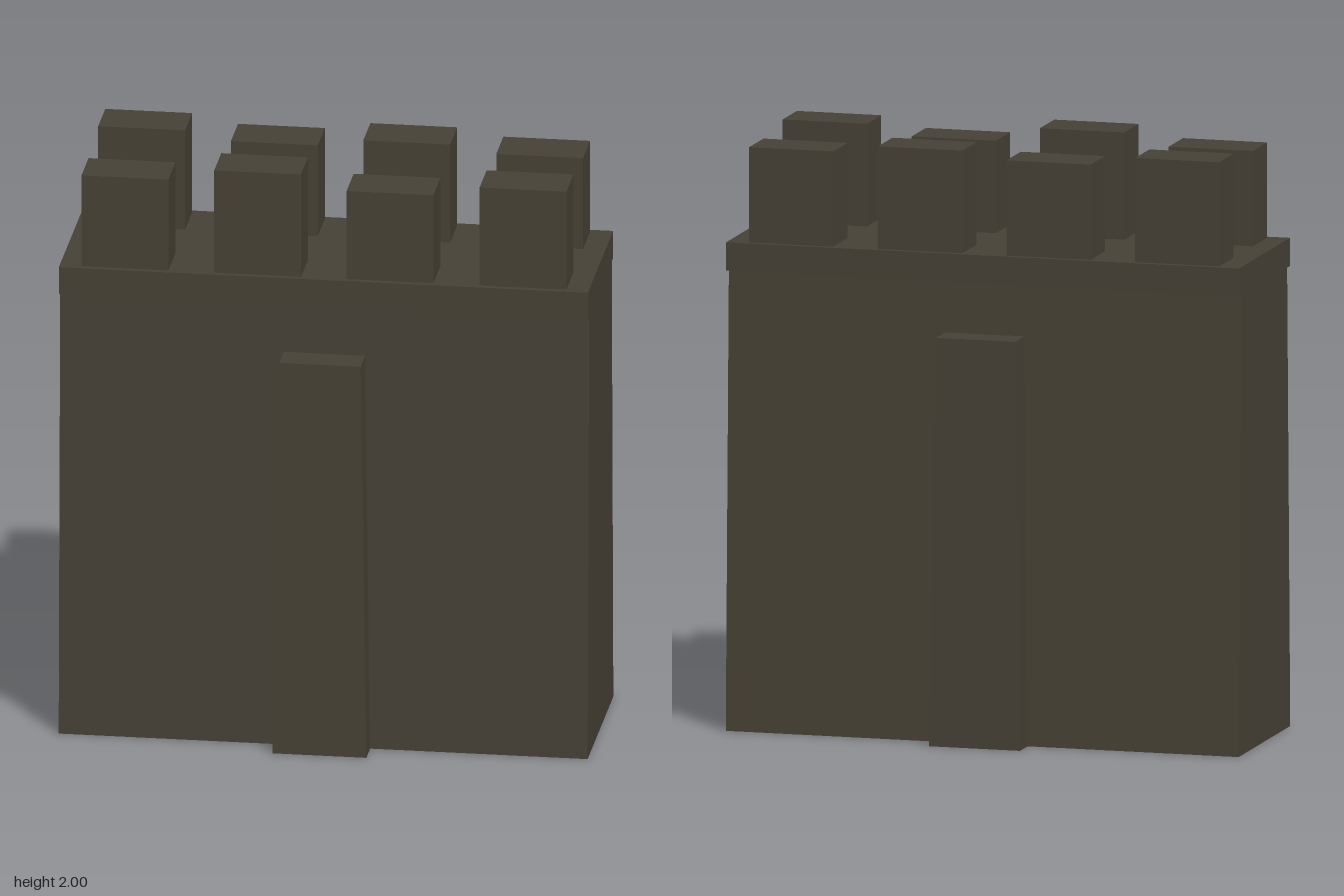
import * as THREE from 'three';

// Box from y0 to y1 whose top is scaled in x and z
function taperedBox(width, depth, y0, y1, topX = 1, topZ = 1) {
  const geo = new THREE.BoxGeometry(width, y1 - y0, depth);
  geo.translate(0, (y0 + y1) / 2, 0);
  const p = geo.attributes.position;
  for (let i = 0; i < p.count; i++) {
    if (p.getY(i) > y1 - 1e-4) {
      p.setX(i, p.getX(i) * topX);
      p.setZ(i, p.getZ(i) * topZ);
    }
  }
  geo.computeVertexNormals();
  return geo;
}

export function createModel() {
  const group = new THREE.Group();
  const stone = new THREE.MeshStandardMaterial({ color: 0x474236, side: THREE.DoubleSide });
  stone.name = 'dark stone';

  function add(name, geo, x = 0, z = 0) {
    const mesh = new THREE.Mesh(geo, stone);
    mesh.name = name;
    mesh.position.set(x, 0, z);
    group.add(mesh);
  }

  // Wall leaning inward on its long sides, with an overhanging ledge
  add('wall', taperedBox(1.766, 0.61, 0, 1.545, 1, 0.88));
  add('ledge', taperedBox(1.766, 0.602, 1.545, 1.64));

  // Tapered buttress at the middle of each long side, open underneath
  for (const side of [1, -1]) {
    const geo = taperedBox(0.314, 0.19, 0, 1.37, 0.865, 1);
    const p = geo.attributes.position;
    for (let i = 0; i < p.count; i++) {
      const outer = p.getZ(i) * side > 0;
      const top = p.getY(i) > 1;
      p.setZ(i, side * (outer ? (top ? 0.381 : 0.395) : 0.24));
    }
    const index = Array.from(geo.index.array);
    index.splice(18, 6);
    geo.setIndex(index);
    geo.clearGroups();
    geo.computeVertexNormals();
    add(side > 0 ? 'frontButtress' : 'backButtress', geo);
  }

  // Merlons of uneven height in two rows
  const columns = [-0.665, -0.222, 0.22, 0.664];
  const rows = [
    { name: 'frontMerlon', z: 0.198, tops: [1.96, 2.0, 1.95, 1.985] },
    { name: 'backMerlon', z: -0.198, tops: [1.99, 1.96, 1.985, 1.96] },
  ];
  for (const row of rows) {
    columns.forEach((x, i) => {
      add(row.name + (i + 1), taperedBox(0.29, 0.168, 1.64, row.tops[i]), x, row.z);
    });
  }
  return group;
}
